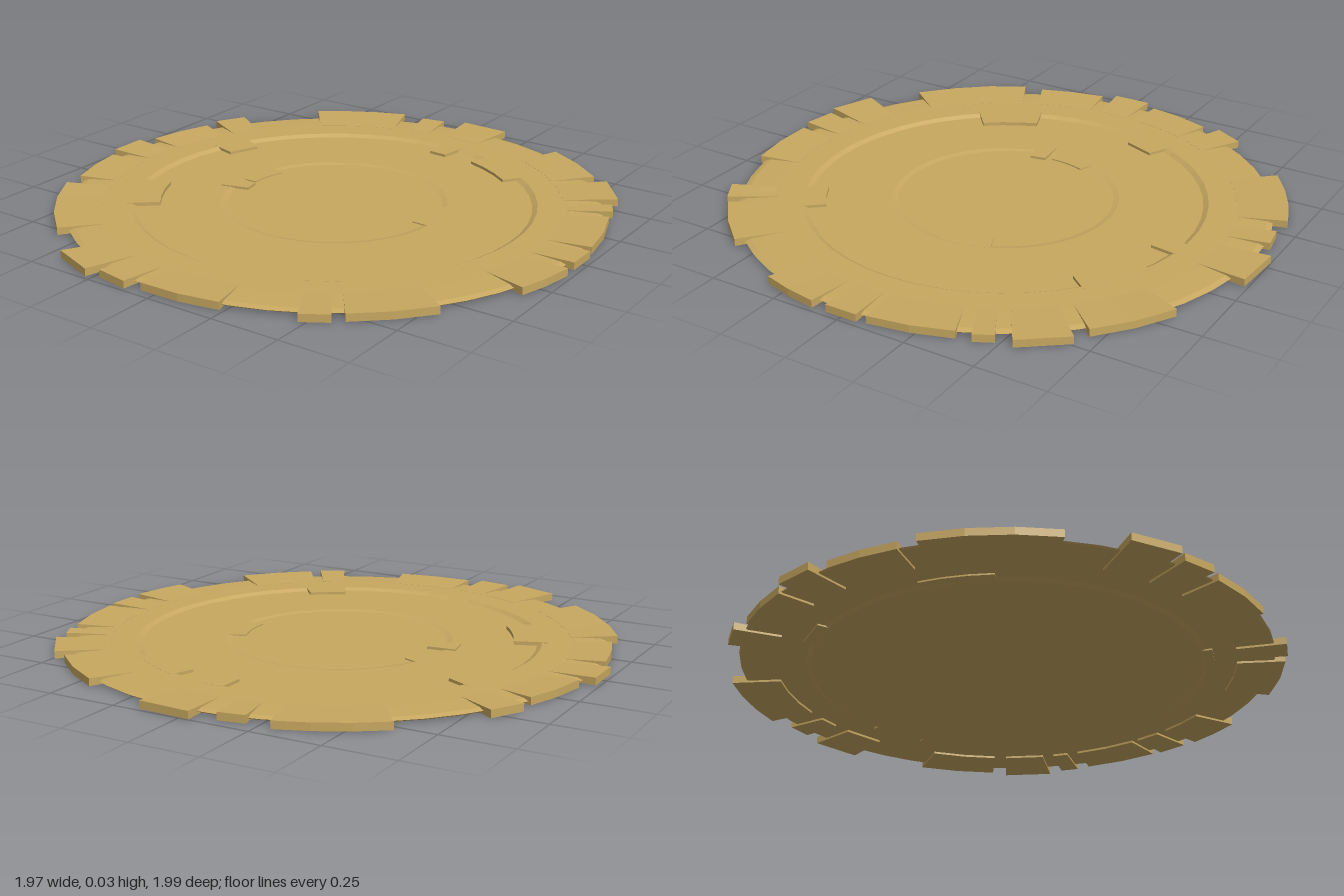
import * as THREE from 'three';

const RIM_TOP = 0.021, FLOOR = 0.011, CENTRE = 0.007;

// Faceted normals
function flat(geometry) {
  const g = geometry.index ? geometry.toNonIndexed() : geometry;
  g.computeVertexNormals();
  return g;
}

// Block bent along an arc: angles in degrees from +x towards +z,
// with its own top height at the inner and the outer radius
function arcBlock(a0, a1, rIn, rOut, y0, topIn, topOut) {
  const steps = Math.max(1, Math.round((a1 - a0) / 7.5));
  const g = new THREE.BoxGeometry(1, 1, 1, steps, 1, 1);
  const p = g.attributes.position;
  for (let i = 0; i < p.count; i++) {
    const a = THREE.MathUtils.degToRad(a0 + (0.5 - p.getX(i)) * (a1 - a0));
    const outer = p.getZ(i) > 0;
    const r = outer ? rOut : rIn;
    const top = outer ? topOut : topIn;
    p.setXYZ(i, r * Math.cos(a), p.getY(i) > 0 ? top : y0, r * Math.sin(a));
  }
  return flat(g);
}

export function createModel() {
  const group = new THREE.Group();
  const brass = new THREE.MeshStandardMaterial({ color: 0xc8a860 });
  brass.name = 'brass';

  const add = (name, geometry) => {
    const mesh = new THREE.Mesh(geometry, brass);
    mesh.name = name;
    group.add(mesh);
  };

  // Stepped dish: underside from the centre out, then the top back in
  const profile = [
    [0, 0], [0.385, 0], [0.4, 0.002], [0.7, 0.002], [0.715, 0.01], [0.945, 0.008],
    [0.95, 0.012], [0.93, 0.018], [0.84, RIM_TOP], [0.722, RIM_TOP], [0.704, FLOOR],
    [0.405, FLOOR], [0.385, CENTRE], [0, CENTRE],
  ].map(([r, y]) => new THREE.Vector2(r, y));
  const dish = flat(new THREE.LatheGeometry(profile, 48));
  dish.translate(0.005, 0, 0);
  add('dish', dish);

  // Uneven teeth around the edge: start angle, end angle, outer radius
  const teeth = [
    [-92, -81, 1.0], [-63.7, -46.2, 0.985], [-43, -32.5, 1.014], [-29.5, -25.4, 0.987],
    [-22.4, -5.3, 0.975], [-3.4, 3.4, 0.982], [6.4, 19.1, 0.99], [36.2, 53.1, 0.989],
    [55.5, 61.3, 0.995], [76, 93.3, 0.97], [96.2, 103.4, 0.995], [105.4, 115.5, 1.025],
    [126.8, 153, 0.987], [157.3, 172.7, 0.96], [175.7, 184, 0.989], [187, 202.4, 0.955],
    [205.8, 213.1, 0.986], [231.5, 252.6, 0.998], [257.6, 263.2, 0.97],
  ];
  for (const [a0, a1, r] of teeth) {
    add('edgeTooth', arcBlock(a0, a1, 0.82, r, 0.001, RIM_TOP + 0.0005, 0.028));
  }

  // Tabs reaching from the rim over the recess: angles, radii, top height
  const rimTabs = [
    [-88, -81.5, 0.63, 0.73, RIM_TOP + 0.0004], [-70.8, -50.7, 0.65, 0.74, RIM_TOP + 0.0004],
    [195.9, 207, 0.634, 0.74, RIM_TOP + 0.0004], [49.5, 62, 0.644, 0.74, RIM_TOP + 0.0004],
    [139.8, 159.5, 0.617, 0.735, RIM_TOP + 0.003],
  ];
  for (const [a0, a1, r0, r1, top] of rimTabs) {
    add('rimTab', arcBlock(a0, a1, r0, r1, 0.004, top, top));
  }

  // Tabs around the central hollow
  const centreTabs = [
    [-24, 3, 0.345, 0.41, FLOOR + 0.0004], [178, 201, 0.345, 0.4, FLOOR + 0.0004],
    [164.3, 174.5, 0.33, 0.435, FLOOR + 0.005],
  ];
  for (const [a0, a1, r0, r1, top] of centreTabs) {
    add('centreTab', arcBlock(a0, a1, r0, r1, 0.003, top, top));
  }
  return group;
}
